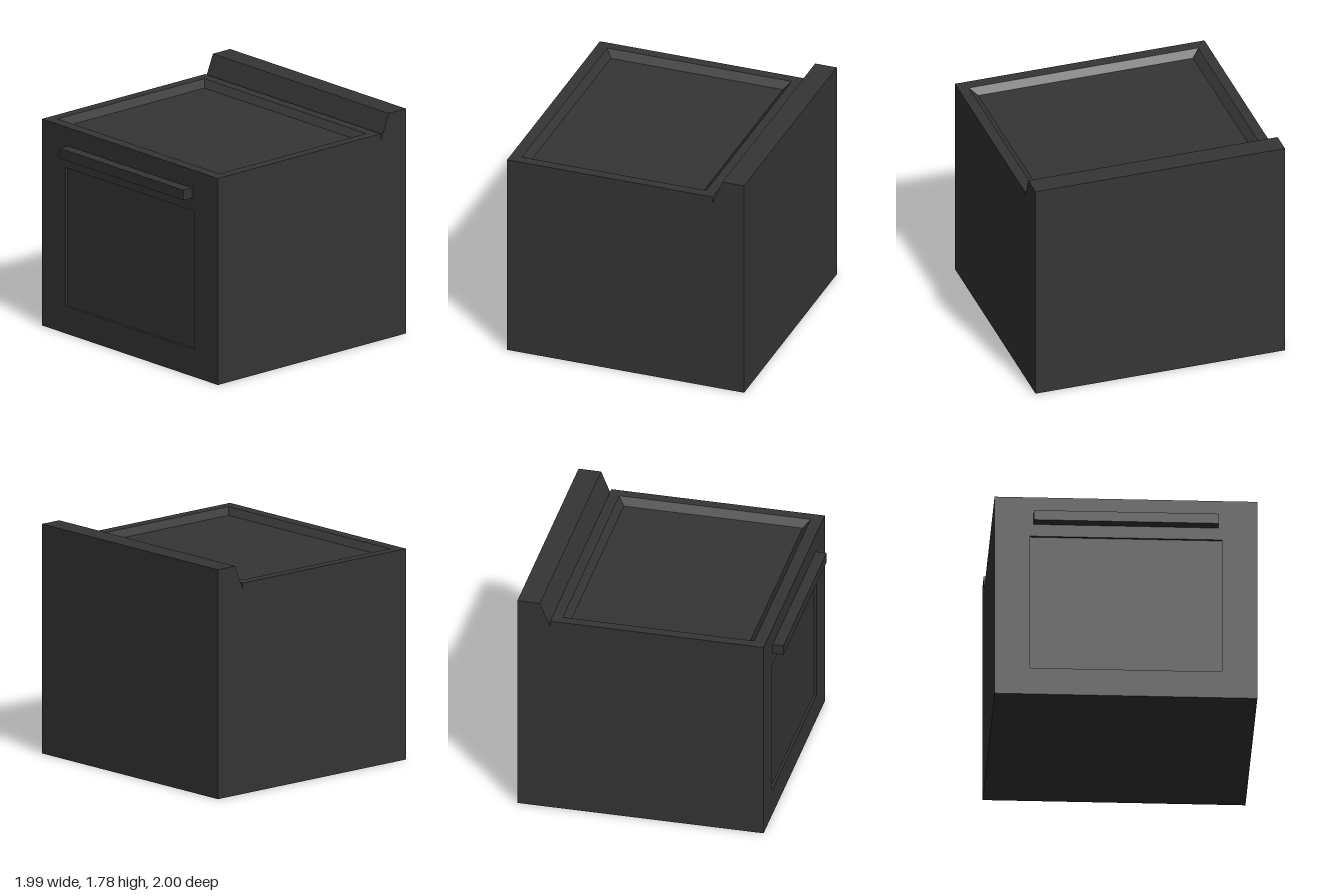
import * as THREE from 'three';

export function createModel() {
  const group = new THREE.Group();
  const darkGrey = new THREE.MeshStandardMaterial({ color: 0x353535 });
  darkGrey.name = 'dark grey enamel';

  const HALF_W = 0.995;
  const BACK = -1, FRONT = 0.915, SPLASH = -0.745;
  const DECK = 1.59, TOP = 1.64, DOOR_DEPTH = 0.02;

  const add = (name, geometry) => {
    const mesh = new THREE.Mesh(geometry, darkGrey);
    mesh.name = name;
    group.add(mesh);
    return mesh;
  };

  // Cabinet and sloped backsplash: side profile (z, y) extruded across the width
  const profile = new THREE.Shape([
    [BACK, 0], [FRONT - DOOR_DEPTH, 0], [FRONT - DOOR_DEPTH, DECK],
    [SPLASH, DECK], [-0.825, 1.785], [BACK, 1.785],
  ].map(([z, y]) => new THREE.Vector2(z, y)));
  const cabinet = new THREE.ExtrudeGeometry(profile, { depth: 2 * HALF_W, bevelEnabled: false });
  cabinet.translate(0, 0, -HALF_W).rotateY(-Math.PI / 2);
  add('cabinetWithBacksplash', cabinet);

  // Front frame around the recessed door panel
  const rect = (Type, x, y0, y1) => new Type([
    [-x, y0], [x, y0], [x, y1], [-x, y1],
  ].map(([px, py]) => new THREE.Vector2(px, py)));
  const frame = rect(THREE.Shape, HALF_W, 0, DECK);
  frame.holes.push(rect(THREE.Path, 0.727, 0.217, 1.317));
  add('frontFrame', new THREE.ExtrudeGeometry(frame, { depth: DOOR_DEPTH, bevelEnabled: false }))
    .position.z = FRONT - DOOR_DEPTH;

  // Cooktop rim: rectangular loops joined up the outside and down the sloped recess
  const loop = (x, y, z0, z1) => [[-x, y, z0], [-x, y, z1], [x, y, z1], [x, y, z0]];
  const loops = [
    loop(HALF_W, DECK, SPLASH, FRONT),
    loop(HALF_W, TOP, SPLASH, FRONT),
    loop(0.915, TOP, -0.665, 0.825),
    loop(0.857, DECK, -0.615, 0.775),
  ];
  const points = [];
  for (let k = 0; k < loops.length - 1; k++) {
    for (let i = 0; i < 4; i++) {
      const j = (i + 1) % 4;
      const [a, b, c, d] = [loops[k][i], loops[k][j], loops[k + 1][j], loops[k + 1][i]];
      points.push(...a, ...b, ...c, ...a, ...c, ...d);
    }
  }
  const rim = new THREE.BufferGeometry();
  rim.setAttribute('position', new THREE.Float32BufferAttribute(points, 3));
  rim.computeVertexNormals();
  add('cooktopRim', rim);

  // Door handle bar
  add('doorHandle', new THREE.BoxGeometry(1.4, 0.08, 0.085))
    .position.set(0, 1.455, FRONT + 0.0425);

  return group;
}
